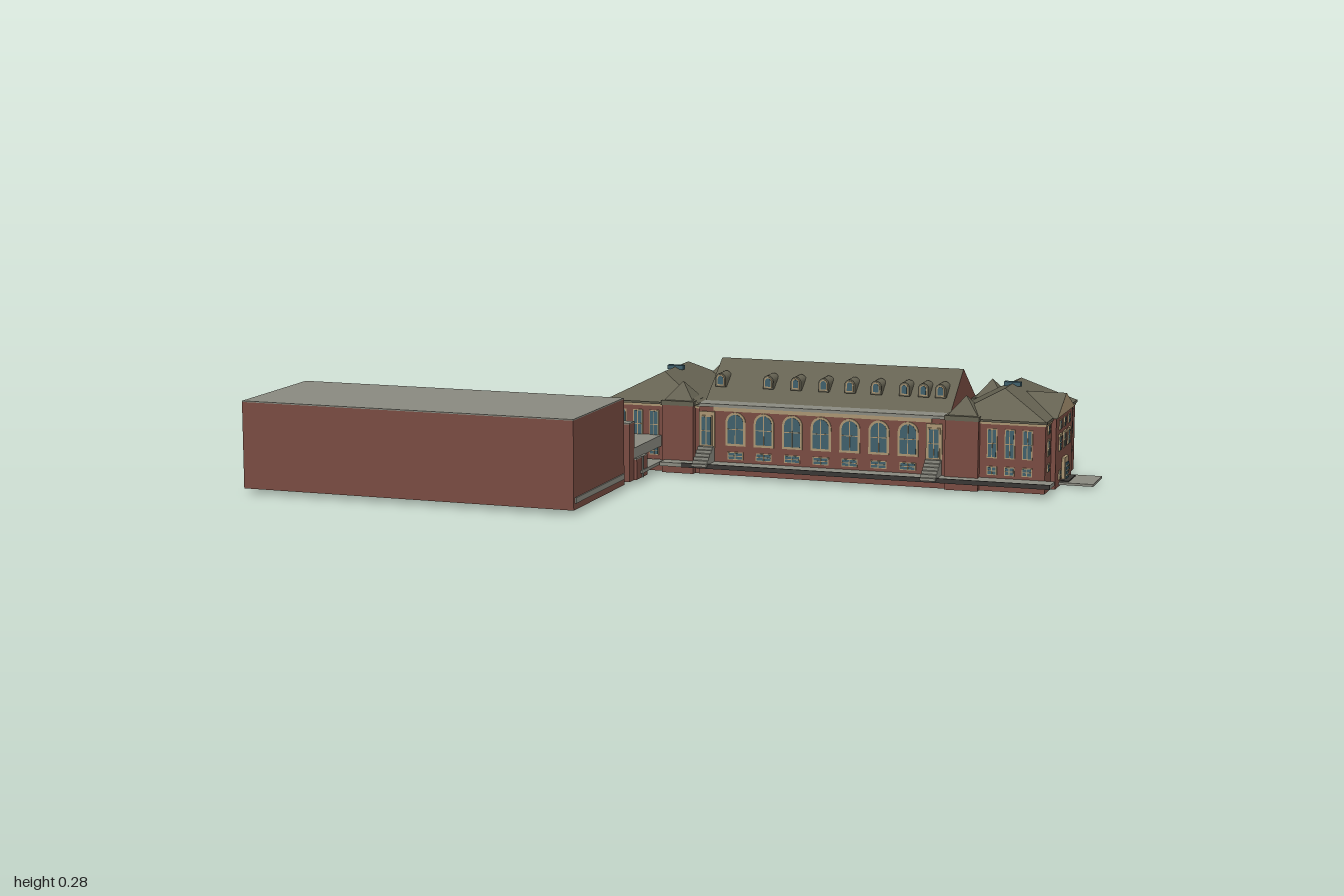
import * as THREE from 'three';

const mat = (name, color, double) => {
  const m = new THREE.MeshStandardMaterial({ color });
  m.name = name;
  if (double) m.side = THREE.DoubleSide;
  return m;
};

export function createModel() {
  const brick = mat('brick', 0x7a4c42);
  const roof = mat('slate roof', 0x656252);
  const concrete = mat('concrete', 0x8b8b81);
  const cream = mat('cream stone', 0xab9673);
  const glass = mat('window glass', 0x40606c);
  const dark = mat('dark metal', 0x3a3835);
  const green = mat('planting', 0x57693f);

  const model = new THREE.Group();
  const add = (parent, name, geo, material) => {
    const m = new THREE.Mesh(geo, material);
    m.name = name;
    parent.add(m);
    return m;
  };
  const part = (name) => {
    const g = new THREE.Group();
    g.name = name;
    model.add(g);
    return g;
  };
  // box given by its limits
  const box = (parent, name, material, x0, x1, y0, y1, z0, z1) => {
    const g = new THREE.BoxGeometry(x1 - x0, y1 - y0, z1 - z0);
    g.translate((x0 + x1) / 2, (y0 + y1) / 2, (z0 + z1) / 2);
    return add(parent, name, g, material);
  };
  // (z, y) profile extruded along x, with separate end and side materials
  const prism = (parent, name, pts, x0, x1, ends, sides) => {
    const s = new THREE.Shape(pts.map(([z, y]) => new THREE.Vector2(-z, y)));
    const g = new THREE.ExtrudeGeometry(s, { depth: x1 - x0, bevelEnabled: false });
    g.rotateY(Math.PI / 2).translate(x0, 0, 0);
    return add(parent, name, g, [ends, sides]);
  };
  // hipped roof with its ridge along z
  const hip = (parent, name, x0, x1, z0, z1, y0, y1, inset) => {
    const xm = (x0 + x1) / 2;
    const a = [x0, y0, z0], b = [x1, y0, z0], c = [x1, y0, z1], d = [x0, y0, z1];
    const e = [xm, y1, z0 + inset], f = [xm, y1, z1 - inset];
    const tris = [d, c, f, b, a, e, c, b, e, c, e, f, a, d, f, a, f, e];
    const g = new THREE.BufferGeometry();
    g.setAttribute('position', new THREE.Float32BufferAttribute(tris.flat(), 3));
    g.computeVertexNormals();
    return add(parent, name, g, roof);
  };

  // window outline, optionally with a round head
  const plate = (w, h, arched, depth) => {
    const s = new THREE.Shape();
    s.moveTo(-w / 2, 0);
    s.lineTo(w / 2, 0);
    if (arched) {
      s.lineTo(w / 2, h - w / 2);
      s.absarc(0, h - w / 2, w / 2, 0, Math.PI, false);
    } else {
      s.lineTo(w / 2, h);
      s.lineTo(-w / 2, h);
    }
    return new THREE.ExtrudeGeometry(s, { depth, bevelEnabled: false, curveSegments: 6 });
  };
  // window facing +z, turned to the wall by angle
  const windowAt = (parent, x, y, z, w, h, angle = 0, arched = false) => {
    const g = new THREE.Group();
    g.name = 'window';
    const t = Math.min(w, h) * 0.11;
    add(g, 'windowFrame', plate(w, h, arched, 0.003), cream);
    add(g, 'windowPane', plate(w - 2 * t, h - 2 * t, arched, 0.004), glass).position.y = t;
    box(g, 'mullion', cream, -0.001, 0.001, t, h - t, 0.003, 0.005);
    box(g, 'glazingBar', cream, -w / 2 + t, w / 2 - t, h * 0.5 - 0.001, h * 0.5 + 0.001, 0.003, 0.005);
    g.position.set(x, y, z);
    g.rotation.y = angle;
    parent.add(g);
  };
  const EAST = Math.PI / 2, NORTH = Math.PI, WEST = -Math.PI / 2;

  // central range with its gabled roof
  const centre = part('centralRange');
  box(centre, 'centralWalls', brick, -0.01, 0.65, 0, 0.178, -0.452, -0.125);
  box(centre, 'frontFlatRoof', concrete, -0.01, 0.65, 0.178, 0.186, -0.18, -0.12);
  box(centre, 'frontFrieze', cream, 0.03, 0.61, 0.168, 0.178, -0.13, -0.122);
  box(centre, 'backFrieze', cream, 0, 0.65, 0.172, 0.178, -0.455, -0.45);
  prism(centre, 'centralRoof', [[-0.46, 0.178], [-0.172, 0.178], [-0.172, 0.184], [-0.312, 0.28], [-0.46, 0.184]], -0.008, 0.646, brick, roof);
  for (let i = 0; i < 7; i++) {
    const x = 0.09 + i * 0.0765;
    windowAt(centre, x, 0.078, -0.125, 0.054, 0.088, 0, true);
    windowAt(centre, x, 0.042, -0.125, 0.042, 0.02);
  }
  for (let i = 0; i < 9; i++) {
    const x = 0.045 + i * 0.07;
    windowAt(centre, x, 0.138, -0.452, 0.024, 0.027, NORTH);
    windowAt(centre, x, 0.085, -0.452, 0.028, 0.04, NORTH);
    if (i !== 4) windowAt(centre, x, 0.035, -0.452, 0.024, 0.025, NORTH);
  }
  box(centre, 'backDoorSurround', cream, 0.3, 0.35, 0, 0.065, -0.462, -0.452);
  box(centre, 'backDoor', glass, 0.31, 0.34, 0, 0.055, -0.465, -0.461);

  // rounded dormers on both slopes
  for (const x of [0.02, 0.15, 0.225, 0.3, 0.37, 0.44, 0.515, 0.565, 0.61]) {
    for (const side of [1, -1]) {
      const d = new THREE.Group();
      d.name = 'dormer';
      const body = add(d, 'dormerBody', plate(0.028, 0.036, true, 0.05), roof);
      body.position.z = -0.05;
      add(d, 'dormerFrame', plate(0.02, 0.028, true, 0.002), cream).position.y = 0.004;
      add(d, 'dormerPane', plate(0.014, 0.022, true, 0.003), glass).position.y = 0.007;
      d.position.set(x, 0.217, -0.312 + side * 0.1);
      if (side < 0) d.rotation.y = Math.PI;
      centre.add(d);
    }
  }

  // end wings with hipped roofs and corner pyramids
  const wing = (name, x0, x1, px) => {
    const g = part(name);
    box(g, 'wingWalls', brick, x0, x1, 0, 0.178, -0.505, -0.13);
    box(g, 'wingFrieze', cream, x0 - 0.002, x1 + 0.002, 0.171, 0.177, -0.507, -0.128);
    box(g, 'wingEaves', roof, x0 - 0.005, x1 + 0.005, 0.177, 0.184, -0.51, -0.123);
    hip(g, 'wingRoof', x0 - 0.005, x1 + 0.005, -0.51, -0.118, 0.183, 0.25, 0.1);
    box(g, 'cornerPavilion', brick, px - 0.043, px + 0.043, 0, 0.178, -0.2, -0.112);
    for (const z of [-0.16, -0.458]) {
      box(g, 'pavilionEaves', roof, px - 0.045, px + 0.045, 0.178, 0.19, z - 0.045, z + 0.05);
      const p = new THREE.ConeGeometry(0.055, 0.047, 4, 1).toNonIndexed();
      p.rotateY(Math.PI / 4).computeVertexNormals();
      add(g, 'pavilionPyramid', p, roof).position.set(px, 0.213, z);
    }
    const xm = (x0 + x1) / 2;
    box(g, 'roofLight', glass, xm - 0.022, xm + 0.022, 0.243, 0.254, -0.319, -0.301);
    for (let i = 0; i < 4; i++) {
      const x = x0 + 0.04 + (i * (x1 - x0 - 0.08)) / 3;
      windowAt(g, x, 0.145, -0.505, 0.025, 0.025, NORTH);
      windowAt(g, x, 0.092, -0.505, 0.028, 0.042, NORTH);
      windowAt(g, x, 0.045, -0.505, 0.025, 0.022, NORTH);
    }
    return g;
  };
  const west = wing('westWing', -0.262, -0.012, -0.065);
  const east = wing('eastWing', 0.652, 0.9, 0.69);
  for (let i = 0; i < 6; i++) {
    const z = -0.465 + i * 0.059;
    windowAt(west, -0.262, 0.145, z, 0.025, 0.025, WEST);
    windowAt(west, -0.262, 0.092, z, 0.028, 0.042, WEST);
    windowAt(west, -0.262, 0.045, z, 0.025, 0.022, WEST);
  }
  for (const [g, xs] of [[east, [0.765, 0.81, 0.855]], [west, [-0.225, -0.18, -0.135]]]) {
    for (const x of xs) {
      windowAt(g, x, 0.085, -0.13, 0.026, 0.075);
      windowAt(g, x, 0.042, -0.13, 0.026, 0.022);
    }
  }

  // east bay with pediment and doorway
  box(east, 'eastBay', brick, 0.9, 0.912, 0, 0.183, -0.412, -0.202);
  prism(east, 'pediment', [[-0.418, 0.182], [-0.196, 0.182], [-0.307, 0.232]], 0.79, 0.916, cream, roof);
  for (const z of [-0.252, -0.307, -0.362]) {
    windowAt(east, 0.912, 0.147, z, 0.024, 0.025, EAST);
    windowAt(east, 0.912, 0.092, z, 0.026, 0.044, EAST);
    box(east, 'windowHead', cream, 0.912, 0.917, 0.13, 0.136, z - 0.016, z + 0.016);
    if (z !== -0.307) windowAt(east, 0.912, 0.018, z, 0.022, 0.024, EAST);
  }
  for (const z of [-0.165, -0.452]) {
    windowAt(east, 0.9, 0.147, z, 0.024, 0.025, EAST);
    windowAt(east, 0.9, 0.092, z, 0.026, 0.042, EAST);
    windowAt(east, 0.9, 0.052, z, 0.024, 0.02, EAST);
  }
  box(east, 'doorSurround', cream, 0.912, 0.92, 0.01, 0.068, -0.332, -0.283);
  box(east, 'door', glass, 0.92, 0.923, 0.012, 0.054, -0.321, -0.294);
  for (let i = 0; i < 3; i++) box(east, 'doorRail', cream, 0.922, 0.925, 0.02 + i * 0.012, 0.023 + i * 0.012, -0.321, -0.294);
  box(east, 'doorStep', dark, 0.912, 0.935, 0.006, 0.013, -0.352, -0.262);
  box(east, 'porchPaving', concrete, 0.91, 1, 0.004, 0.01, -0.372, -0.25);

  // front walkway, portals and their stairs
  const walk = part('frontWalk');
  box(walk, 'walkway', concrete, -0.1, 0.925, 0.024, 0.034, -0.13, -0.072);
  box(walk, 'walkwayEdge', dark, -0.04, 0.925, 0.024, 0.036, -0.072, -0.069);
  for (const x of [0.012, 0.617]) {
    box(walk, 'portal', cream, x - 0.021, x + 0.021, 0.07, 0.165, -0.127, -0.121);
    windowAt(walk, x, 0.075, -0.121, 0.032, 0.08);
    const steps = [[-0.125, 0.03], [-0.056, 0.03]];
    for (let i = 0; i < 6; i++) steps.push([-0.056 - i * 0.01, 0.037 + i * 0.0075], [-0.066 - i * 0.01, 0.037 + i * 0.0075]);
    steps.push([-0.125, 0.0745]);
    prism(walk, 'portalStairs', steps, x - 0.02, x + 0.02, concrete, concrete);
  }

  // large windowless hall and its stepped rear
  const hall = part('hall');
  const slab = (name, x0, x1, y0, y1, z0, z1) => {
    box(hall, name, brick, x0, x1, y0, y1 - 0.003, z0, z1);
    box(hall, name + 'Roof', concrete, x0, x1, y1 - 0.003, y1, z0, z1);
  };
  slab('hallBlock', -1, -0.115, 0.013, 0.235, 0.153, 0.505);
  box(hall, 'hallBand', concrete, -0.116, -0.112, 0.029, 0.043, 0.16, 0.495);
  slab('rearStep', -0.945, -0.15, 0.013, 0.165, 0.105, 0.155);
  slab('rearRange', -0.968, -0.115, 0.013, 0.164, 0.078, 0.115);
  slab('cornerBlock', -0.97, -0.912, 0.013, 0.1, 0.02, 0.08);
  slab('linkBase', -0.28, -0.108, 0.013, 0.068, 0, 0.08);
  box(hall, 'linkPost', concrete, -0.11, -0.105, 0.013, 0.068, 0.034, 0.04);
  box(hall, 'rearLedge', concrete, -0.912, -0.28, 0.09, 0.097, 0.055, 0.08);
  for (let i = 0; i < 11; i++) {
    const x = -0.82 + i * 0.05;
    box(hall, 'rearPier', dark, x - 0.003, x + 0.003, 0.097, 0.14, 0.073, 0.079);
  }

  // glazed entrance with posts, canopy and planting
  const entry = part('rearEntrance');
  box(entry, 'entranceGlass', glass, -0.825, -0.41, 0.03, 0.083, -0.005, 0.078);
  box(entry, 'entranceRoof', concrete, -0.83, -0.405, 0.083, 0.092, -0.016, 0.08);
  for (let i = 0; i < 10; i++) {
    const x = -0.822 + i * 0.0455;
    box(entry, 'entrancePost', cream, x - 0.003, x + 0.003, 0.03, 0.083, -0.012, -0.004);
  }
  box(entry, 'planter', concrete, -0.83, -0.44, 0.03, 0.042, -0.066, -0.022);
  box(entry, 'hedge', green, -0.82, -0.45, 0.04, 0.054, -0.06, -0.03);

  // thin terrace and the bridge joining the buildings
  const link = part('terraceAndBridge');
  const t = new THREE.Shape([[-0.97, -0.09], [-0.28, -0.09], [-0.28, -0.12], [-0.105, -0.12], [-0.105, 0.05], [-0.28, 0.08], [-0.91, 0.08], [-0.97, 0.03]]
    .map(([x, z]) => new THREE.Vector2(x, -z)));
  const tg = new THREE.ExtrudeGeometry(t, { depth: 0.008, bevelEnabled: false });
  tg.rotateX(-Math.PI / 2).translate(0, 0.024, 0);
  add(link, 'terrace', tg, concrete);
  box(link, 'bridge', concrete, -0.235, -0.115, 0.066, 0.095, -0.135, 0.08);
  box(link, 'bridgeWindows', glass, -0.238, -0.236, 0.072, 0.088, -0.1, -0.01);
  return model;
}
